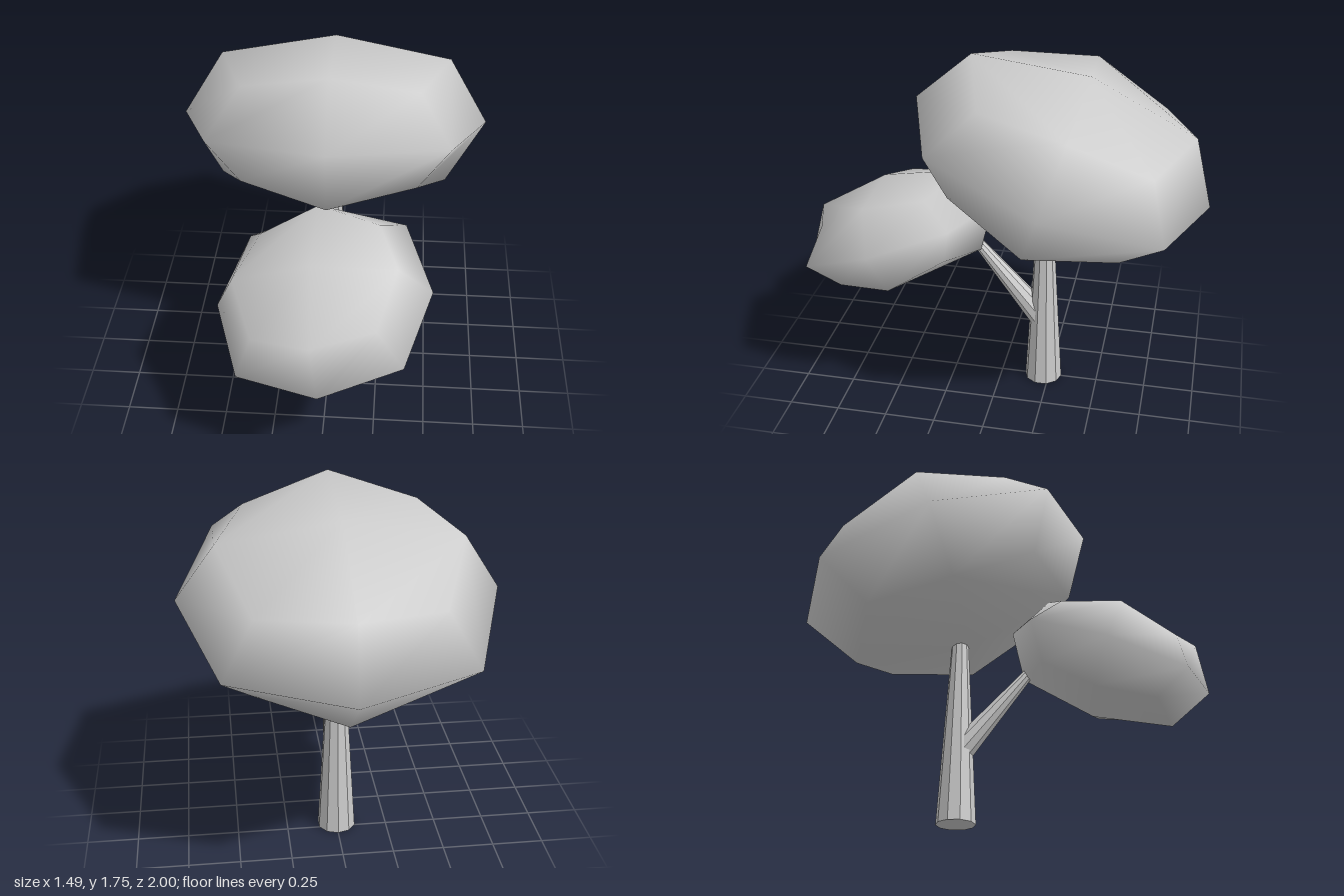
import * as THREE from 'three';
import { mergeVertices } from 'three/addons/utils/BufferGeometryUtils.js';

const material = new THREE.MeshStandardMaterial({ color: 0xcccccc });
const flatMaterial = new THREE.MeshStandardMaterial({ color: 0xcccccc, flatShading: true });
const v = (x, y, z) => new THREE.Vector3(x, y, z);

// Foliage blob: a once-subdivided cube, rounded, stretched along three half-axes
function foliage(name, centre, side, up, front) {
  let geo = new THREE.BoxGeometry(2, 2, 2, 2, 2, 2);
  geo.deleteAttribute('normal');
  geo.deleteAttribute('uv');
  geo = mergeVertices(geo);

  // Face centres stay; edge midpoints and corners are pulled in
  const pull = [0, 1, 0.75, 0.5556];
  const pos = geo.attributes.position;
  const p = v(0, 0, 0);
  for (let i = 0; i < pos.count; i++) {
    p.fromBufferAttribute(pos, i);
    const k = p.toArray().filter((c) => Math.abs(c) > 0.5).length;
    p.multiplyScalar(pull[k]);
    pos.setXYZ(i, p.x, p.y, p.z);
  }
  geo.applyMatrix4(new THREE.Matrix4().makeBasis(side, up, front).setPosition(centre));
  geo.computeVertexNormals();

  const mesh = new THREE.Mesh(geo, material);
  mesh.name = name;
  return mesh;
}

// Tapered limb running from one point to another
function limb(name, from, to, r0, r1) {
  const dir = to.clone().sub(from);
  const mesh = new THREE.Mesh(new THREE.CylinderGeometry(r1, r0, dir.length(), 10), flatMaterial);
  mesh.position.copy(from).add(to).multiplyScalar(0.5);
  mesh.quaternion.setFromUnitVectors(v(0, 1, 0), dir.normalize());
  mesh.name = name;
  return mesh;
}

export function createModel() {
  const tree = new THREE.Group();
  tree.name = 'tree';
  tree.add(
    limb('trunk', v(0, 0, -0.22), v(0, 0.96, -0.213), 0.095, 0.04),
    limb('branch', v(0, 0.36, -0.205), v(0, 0.78, 0.145), 0.065, 0.025),
    foliage('upperFoliage', v(0, 1.295, -0.29),
      v(0.745, 0, 0), v(0, 0.385, -0.125), v(0, 0.225, 0.71)),
    foliage('lowerFoliage', v(0, 0.805, 0.525),
      v(0.503, 0.088, 0.025), v(-0.05, 0.26, 0.087), v(0.006, -0.17, 0.475)),
  );
  return tree;
}
